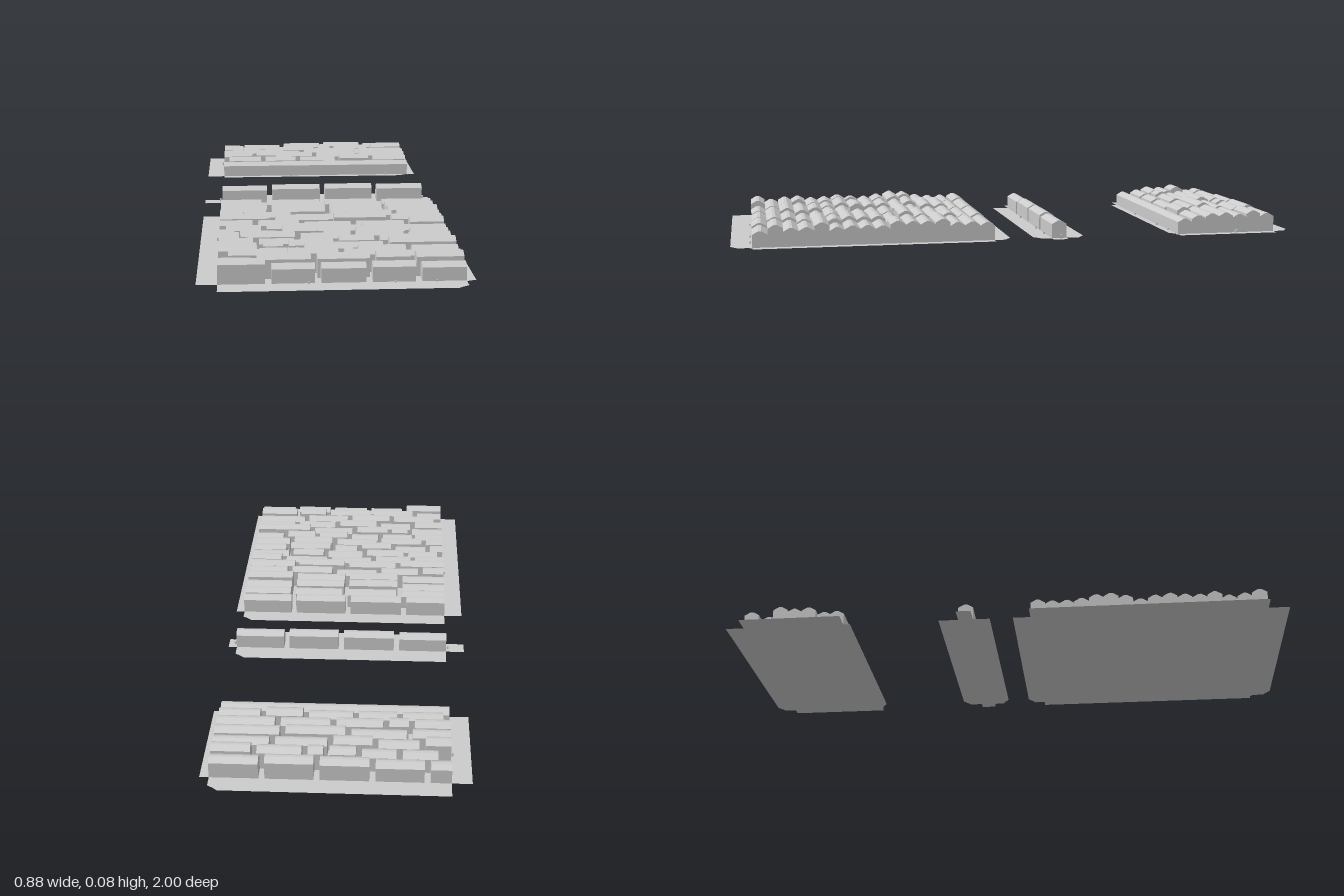
import * as THREE from 'three';

const solid = new THREE.MeshStandardMaterial({ color: 0xcccccc, flatShading: true });
const sheet = new THREE.MeshStandardMaterial({ color: 0xcccccc, side: THREE.DoubleSide });
const X0 = -0.373, X1 = 0.404, PITCH = 0.0519, GAP = 0.02;

function seeded(seed) {
  return () => (seed = (seed * 16807) % 2147483647) / 2147483647;
}

// Stone with upright walls and a low ridged top, running along x
function stone(xa, xb, z, h, depth = PITCH) {
  const w = depth / 2;
  const s = new THREE.Shape();
  s.moveTo(-w, 0);
  s.lineTo(w, 0);
  s.lineTo(w, h - 0.012);
  s.lineTo(w * 0.2, h);
  s.lineTo(-w * 0.2, h);
  s.lineTo(-w, h - 0.012);
  const g = new THREE.ExtrudeGeometry(s, { depth: xb - xa, bevelEnabled: false });
  g.rotateY(Math.PI / 2);
  const m = new THREE.Mesh(g, solid);
  m.name = 'stone';
  m.position.set(xa, 0, z);
  return m;
}

// Flat cross-shaped sheet with side flaps and chipped corners
function groundSheet(z0, z1, s0, s1) {
  const s = new THREE.Shape();
  const pts = [
    [X0, z0], [0.37, z0], [0.385, z0 + 0.012], [X1, z0 + 0.024],
    [X1, s0], [0.435, s0], [0.435, s1], [0.415, s1], [X1, s1 + 0.01],
    [X1, z1 - 0.024], [0.385, z1 - 0.012], [0.37, z1], [X0, z1],
    [X0, s1], [-0.44, s1], [-0.44, s0], [X0, s0],
  ];
  s.setFromPoints(pts.map(([x, z]) => new THREE.Vector2(x, z)));
  const g = new THREE.ShapeGeometry(s);
  g.rotateX(Math.PI / 2);
  const m = new THREE.Mesh(g, sheet);
  m.name = 'groundSheet';
  return m;
}

// Each row: first x, then the centres of the joints between stones
function panel(name, sheetZ, sides, rows, seed, low, high, heights = {}) {
  const rnd = seeded(seed);
  const group = new THREE.Group();
  group.name = name;
  group.add(groundSheet(...sheetZ, ...sides));
  const depth = (sides[1] - sides[0]) / rows.length;
  rows.forEach(([start, ...joints], r) => {
    const z = sides[0] + (r + 0.5) * depth;
    const edges = [start - GAP / 2, ...joints, X1 + GAP / 2];
    for (let i = 0; i < edges.length - 1; i++) {
      const h = heights[r]?.[i] ?? low + (high - low) * rnd();
      group.add(stone(edges[i] + GAP / 2, edges[i + 1] - GAP / 2, z, h, depth));
    }
  });
  // Grit along the edges
  for (const x of [-0.09, 0.18, 0.31]) {
    const grit = new THREE.Mesh(new THREE.BoxGeometry(0.005, 0.007, 0.005), solid);
    grit.name = 'grit';
    grit.position.set(x, 0.0035, sides[1] + 0.006);
    group.add(grit);
  }
  for (const x of [-0.38, 0.411]) {
    const chip = new THREE.Mesh(new THREE.BoxGeometry(0.006, 0.012, 0.008), solid);
    chip.name = 'grit';
    chip.position.set(x, 0.006, sides[0] + (sides[1] - sides[0]) * 0.4);
    group.add(chip);
  }
  return group;
}

export function createModel() {
  const model = new THREE.Group();
  model.name = 'stonePaving';

  model.add(panel('largePanel', [0.035, 1], [0.097, 0.927], [
    [X0, -0.215, 0, 0.21],
    [X0, -0.195, 0.015, 0.217],
    [X0, -0.2, 0.01, 0.217],
    [X0, -0.2, 0.01, 0.217],
    [X0, -0.28, -0.115, 0.063, 0.243],
    [X0, -0.19, 0.015, 0.217],
    [X0, -0.25, -0.09, 0.09, 0.275],
    [-0.35, -0.222, -0.053, 0.106, 0.25],
    [X0, -0.312, -0.17, -0.03, 0.08, 0.265],
    [X0, -0.296, -0.11, 0.075, 0.254],
    [X0, -0.25, -0.115, 0.015, 0.15, 0.285],
    [X0, -0.238, -0.153, -0.005, 0.175],
    [X0, -0.25, -0.105, 0.07, 0.243],
    [-0.34, -0.16, 0.02, 0.206],
    [X0, -0.26, -0.07, 0.116, 0.243],
    [X0, -0.215, -0.06, 0.1, 0.255],
  ], 77, 0.062, 0.08, {
    0: [0.068, 0.066, 0.066, 0.064],
    5: [0.083, 0.076, 0.083, 0.075],
    15: [0.075, 0.058, 0.058, 0.06, 0.056],
  }));

  model.add(panel('narrowPanel', [-0.23, 0.043 - 0.09], [-0.16, -0.107], [
    [X0, -0.19, 0.015, 0.217],
  ], 5, 0.06, 0.066));

  model.add(panel('smallPanel', [-1, -0.548], [-0.935, -0.572], [
    [X0, -0.296, -0.12, 0.058, 0.235],
    [-0.33, -0.206, -0.075, 0.03, 0.1, 0.265],
    [X0, -0.28, -0.127, 0.02, 0.21],
    [X0, -0.238, -0.037, 0.18],
    [X0, -0.245, -0.16, 0.015, 0.2],
    [-0.35, -0.206, -0.058, 0.11, 0.254],
    [X0],
  ], 23, 0.063, 0.081, { 6: [0.055] }));

  return model;
}
